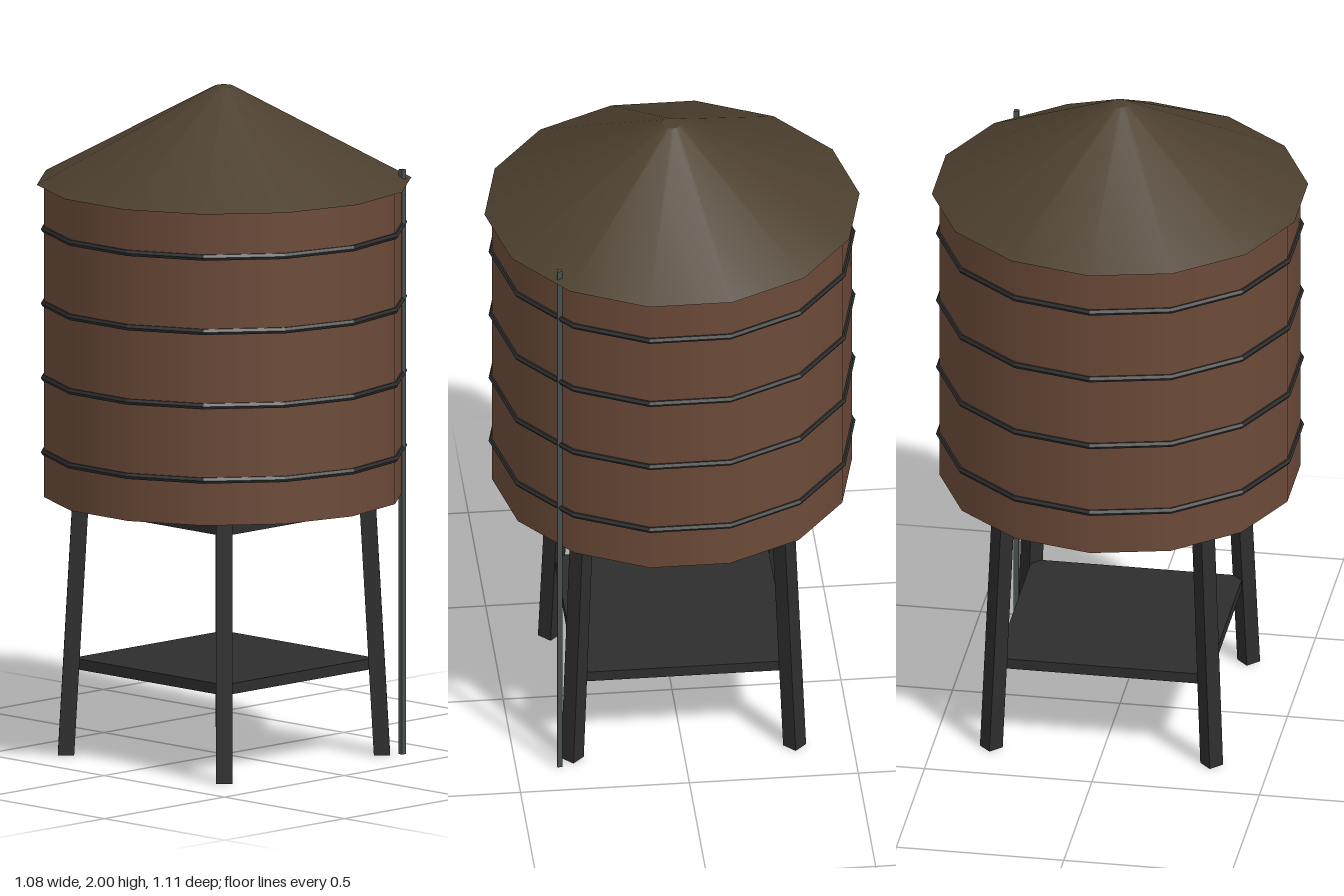
import * as THREE from 'three';

const SIDES = 14;

export function createModel() {
  const group = new THREE.Group();
  const material = (name, color, flatShading = false) => {
    const m = new THREE.MeshStandardMaterial({ color, flatShading });
    m.name = name;
    return m;
  };
  const wood = material('brown wood', 0x6b4a38);
  const roofing = material('dark olive roofing', 0x4c3f2e);
  const steel = material('black steel', 0x2d2d2d, true);
  const pipeMetal = material('grey pipe', 0x4a5052, true);

  const add = (name, geometry, mat, x = 0, y = 0, z = 0) => {
    const mesh = new THREE.Mesh(geometry, mat);
    mesh.name = name;
    mesh.position.set(x, y, z);
    group.add(mesh);
    return mesh;
  };

  // Tank and its shallow conical roof
  add('tank', new THREE.CylinderGeometry(0.533, 0.533, 0.935, SIDES), wood, 0, 1.2475, 0);
  add('roof', new THREE.CylinderGeometry(0.028, 0.555, 0.285, SIDES), roofing, 0, 1.8575, 0);

  // Steel hoops, with corners aligned to the tank's corners
  const hoop = new THREE.TorusGeometry(0.533, 0.01, 6, SIDES);
  hoop.rotateZ(Math.PI / 2).rotateX(Math.PI / 2);
  for (let i = 0; i < 4; i++) add('hoop', hoop, steel, 0, 0.915 + i * 0.2225, 0);

  // Four splayed legs: diamond-section posts leaning in towards the top
  const legHeight = 0.78;
  for (const sx of [-1, 1]) {
    for (const sz of [-1, 1]) {
      const leg = new THREE.CylinderGeometry(0.034, 0.034, legHeight, 4);
      const lean = -0.031 / legHeight;
      leg.applyMatrix4(new THREE.Matrix4().set(
        1, sx * lean, 0, 0,
        0, 1, 0, 0,
        0, sz * lean, 1, 0,
        0, 0, 0, 1));
      add('leg', leg, steel, sx * 0.3135, legHeight / 2, sz * 0.3135);
    }
  }

  // Platforms between the legs
  const platform = new THREE.BoxGeometry(0.63, 0.032, 0.63);
  add('lowerPlatform', platform, steel, 0, 0.272, 0);
  add('upperPlatform', platform, steel, 0, 0.749, 0);

  // Vertical pipe at the front left corner
  add('pipe', new THREE.BoxGeometry(0.015, 1.75, 0.015), pipeMetal, 0.371, 0.875, 0.371);

  return group;
}
